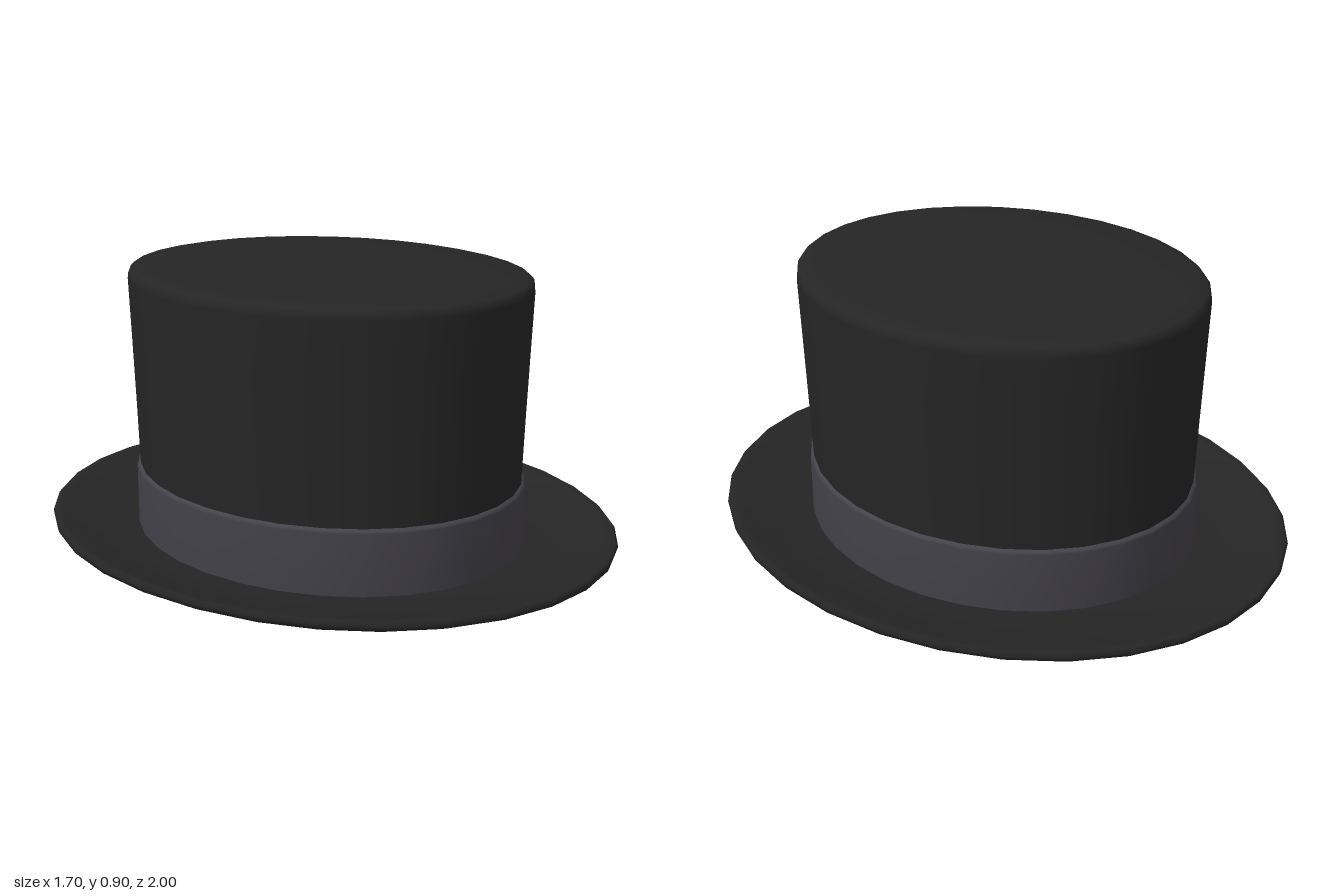
import * as THREE from 'three';

const felt = new THREE.MeshStandardMaterial({ color: 0x252525, side: THREE.DoubleSide });
felt.name = 'black felt';
const ribbon = new THREE.MeshStandardMaterial({ color: 0x44424a, side: THREE.DoubleSide });
ribbon.name = 'grey ribbon';

// Turned part with an oval plan: full radius along z, narrower along x
function oval(name, profile, material) {
  const points = profile.map(([r, y]) => new THREE.Vector2(r, y));
  const geometry = new THREE.LatheGeometry(points, 32);
  geometry.scale(0.85, 1, 1);
  const mesh = new THREE.Mesh(geometry, material);
  mesh.name = name;
  return mesh;
}

export function createModel() {
  const hat = new THREE.Group();
  hat.name = 'topHat';

  // Dished brim: underside, rolled edge, then the top back to the crown
  hat.add(oval('brim', [
    [0.675, 0.02], [0.69, 0.003], [0.74, 0], [0.82, 0.012], [0.95, 0.045],
    [0.995, 0.066], [1, 0.08], [0.99, 0.09], [0.96, 0.086],
    [0.85, 0.058], [0.76, 0.044], [0.68, 0.04],
  ], felt));

  // Ribbon band, a single wall visible inside and out
  hat.add(oval('band', [
    [0.675, 0.02], [0.688, 0.04], [0.688, 0.23], [0.685, 0.238], [0.676, 0.243],
  ], ribbon));

  // Flared crown, hollow, with a softly rounded top
  hat.add(oval('crown', [
    [0.676, 0.243], [0.683, 0.45], [0.692, 0.68], [0.699, 0.85], [0.697, 0.867],
    [0.685, 0.879], [0.64, 0.888], [0.45, 0.895], [0, 0.897],
  ], felt));

  return hat;
}
